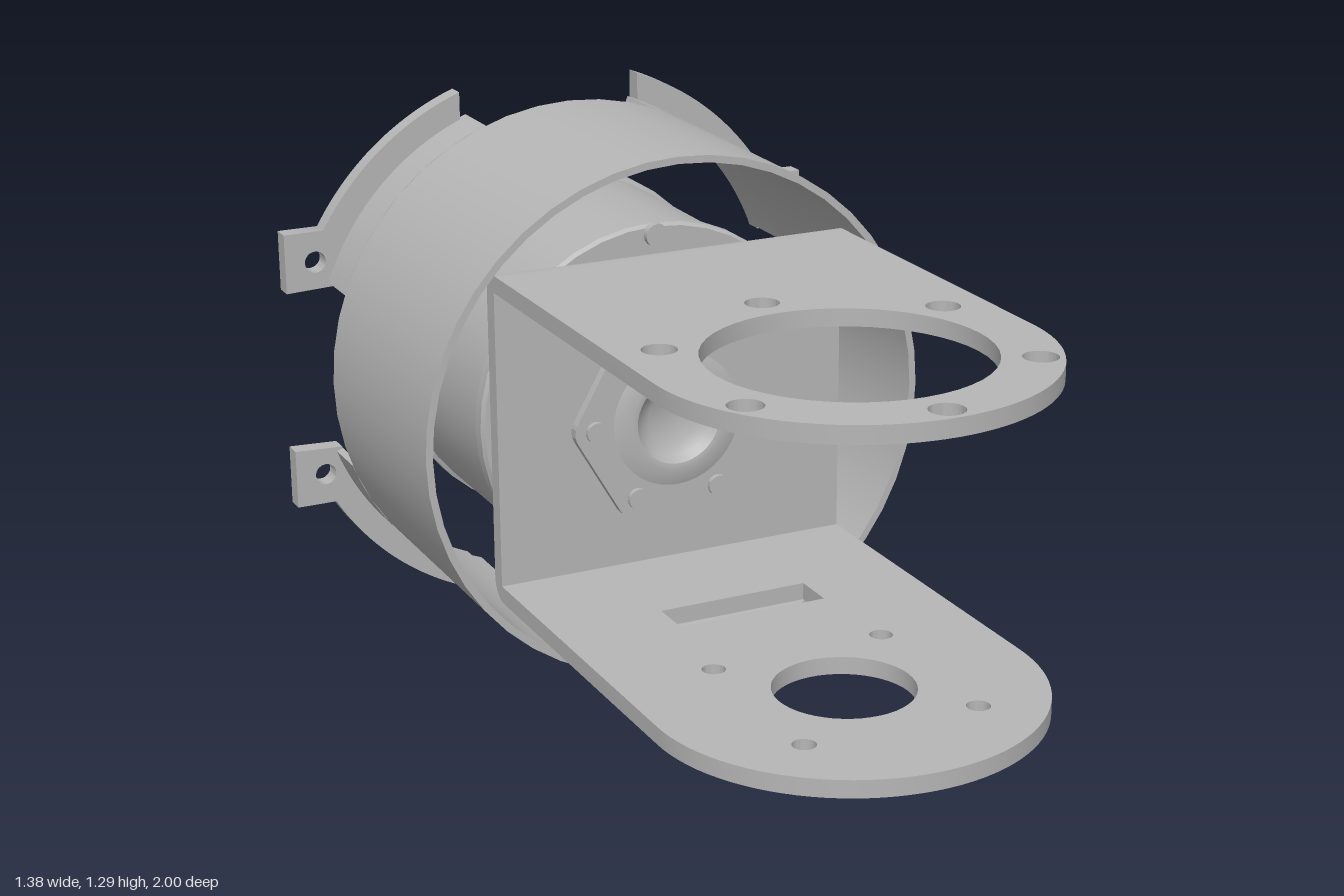
import * as THREE from 'three';
import { toCreasedNormals } from 'three/addons/utils/BufferGeometryUtils.js';

const CY = 0.645; // height of the main axis
const gray = new THREE.MeshStandardMaterial({ color: 0xb6b6b6 });
gray.name = 'metal gray';

export function createModel() {
  const model = new THREE.Group();
  model.name = 'jointModule';

  const add = (name, geo, x = 0, y = 0, z = 0, parent = model) => {
    const mesh = new THREE.Mesh(toCreasedNormals(geo, 0.6), gray);
    mesh.name = name;
    mesh.position.set(x, y, z);
    parent.add(mesh);
  };
  const hole = (shape, x, y, r) =>
    shape.holes.push(new THREE.Path().absarc(x, y, r, 0, Math.PI * 2, true));
  const extrude = (shape, depth) =>
    new THREE.ExtrudeGeometry(shape, { depth, bevelEnabled: false, curveSegments: 24 });
  // lathe around the z axis, points are [radius, distance behind z = 0]
  const latheZ = (pts) =>
    new THREE.LatheGeometry(pts.map(([r, h]) => new THREE.Vector2(r, h)), 40).rotateX(-Math.PI / 2);
  const rod = (r, len) => new THREE.CylinderGeometry(r, r, len, 16).rotateX(Math.PI / 2);
  const ringSector = (r0, r1, a0, a1, depth) => {
    const s = new THREE.Shape();
    s.absarc(0, 0, r1, a0, a1, false);
    s.absarc(0, 0, r0, a1, a0, true);
    return extrude(s, depth);
  };

  // U-shaped bracket: arms with rounded tips
  const armShape = () => {
    const s = new THREE.Shape();
    s.moveTo(-0.435, -0.23);
    s.lineTo(0.435, -0.23);
    s.lineTo(0.435, 0.56);
    s.absarc(0, 0.56, 0.435, 0, Math.PI, false);
    s.lineTo(-0.435, -0.23);
    return s;
  };
  const top = armShape();
  hole(top, 0, 0.56, 0.305);
  for (let i = 0; i < 6; i++) {
    const a = Math.PI / 6 + (i * Math.PI) / 3;
    hole(top, 0.385 * Math.cos(a), 0.56 + 0.385 * Math.sin(a), 0.038);
  }
  add('upperArm', extrude(top, 0.04).rotateX(Math.PI / 2), 0, 1.04);

  const bottom = armShape();
  hole(bottom, 0, 0.56, 0.155);
  for (const sx of [-1, 1]) for (const sz of [-1, 1]) hole(bottom, sx * 0.205, 0.56 + sz * 0.205, 0.026);
  bottom.holes.push(new THREE.Path([[-0.17, 0.02], [-0.17, 0.12], [0.19, 0.12], [0.19, 0.02]]
    .map(([x, y]) => new THREE.Vector2(x, y))));
  add('lowerArm', extrude(bottom, 0.04).rotateX(Math.PI / 2), 0, 0.3);

  // bracket web with rounded bends, drawn in (z, y) and extruded along x
  const web = new THREE.Shape();
  web.moveTo(-0.23, 1.04);
  web.lineTo(-0.26, 1.04);
  web.absarc(-0.26, 0.99, 0.05, Math.PI / 2, Math.PI, false);
  web.lineTo(-0.31, 0.31);
  web.absarc(-0.26, 0.31, 0.05, Math.PI, Math.PI * 1.5, false);
  web.lineTo(-0.23, 0.26);
  web.lineTo(-0.23, 0.3);
  web.lineTo(-0.27, 0.3);
  web.lineTo(-0.27, 1);
  web.lineTo(-0.23, 1);
  add('bracketWeb', extrude(web, 0.87).rotateY(-Math.PI / 2), 0.435);

  // hexagonal output horn with hub and bolts
  const horn = new THREE.Group();
  horn.name = 'outputHorn';
  horn.position.y = CY;
  model.add(horn);
  const hex = new THREE.Shape();
  for (let i = 0; i < 6; i++) {
    const a = (i * Math.PI) / 3;
    hex.absarc(0.205 * Math.cos(a), 0.205 * Math.sin(a), 0.05, a - Math.PI / 6, a + Math.PI / 6, false);
  }
  hole(hex, 0, 0, 0.15);
  add('hornPlate', extrude(hex, 0.025), 0, 0, -0.272, horn);
  add('hornHub', latheZ([[0, 0.266], [0.065, 0.266], [0.09, 0.25], [0.105, 0.236], [0.12, 0.234],
    [0.16, 0.247], [0.16, 0.275]]), 0, 0, 0, horn);
  for (let i = 0; i < 6; i++) {
    const a = (i * Math.PI) / 3;
    add('hornBolt', rod(0.025, 0.03), 0.205 * Math.cos(a), 0.205 * Math.sin(a), -0.25, horn);
  }

  // motor body with a raised rim around the rear cap
  add('motorBody', latheZ([[0, 0.31], [0.34, 0.31], [0.36, 0.36], [0.43, 0.36], [0.437, 0.37], [0.437, 0.4],
    [0.425, 0.41], [0.425, 0.9], [0.435, 0.905], [0.435, 0.97], [0.42, 0.988], [0.36, 0.988],
    [0.34, 0.975], [0, 0.965]]), 0, CY, 0);
  for (const s of [-1, 1]) add('frontScrew', rod(0.028, 0.02), 0, CY + s * 0.412, -0.353);
  for (let i = 0; i < 4; i++) {
    const a = Math.PI / 4 + (i * Math.PI) / 2;
    add('rearScrew', rod(0.025, 0.012), 0.39 * Math.cos(a), CY + 0.39 * Math.sin(a), -0.988);
  }

  // side connector
  add('connector', new THREE.BoxGeometry(0.05, 0.22, 0.075), 0.411, 0.655, -0.9375);
  for (const y of [0.615, 0.705])
    add('connectorScrew', new THREE.CylinderGeometry(0.016, 0.016, 0.008, 12).rotateZ(Math.PI / 2), 0.437, y, -0.9375);

  // round shell, open at both ends
  const ring = new THREE.Shape().absarc(0, 0, 0.623, 0, Math.PI * 2, false);
  hole(ring, 0, 0, 0.606);
  add('shell', extrude(ring, 0.61), 0, CY, -0.84);

  // rear shell quarters, notched between them
  const notch = Math.asin(0.215 / 0.623);
  for (let i = 0; i < 4; i++) {
    const q = (i * Math.PI) / 2;
    add('shellQuarter', ringSector(0.606, 0.623, q + notch, q + Math.PI / 2 - notch, 0.13), 0, CY, -0.97);
  }

  // curved flanges with screw tabs, mirrored to all four corners
  const flange = new THREE.Shape();
  flange.absarc(0, 0, 0.685, Math.atan2(0.345, 0.592), Math.acos(0.235 / 0.685), false);
  flange.absarc(0, 0, 0.606, Math.acos(0.235 / 0.606), Math.asin(0.205 / 0.606), true);
  flange.lineTo(0.69, 0.2);
  flange.lineTo(0.69, 0.345);
  flange.lineTo(0.592, 0.345);
  hole(flange, 0.615, 0.27, 0.026);
  const { shape: outline, holes } = flange.extractPoints(24);
  for (const sx of [-1, 1]) for (const sy of [-1, 1]) {
    const flip = (pts) => pts.map((p) => new THREE.Vector2(p.x * sx, p.y * sy));
    const s = new THREE.Shape(flip(outline));
    s.holes = holes.map((h) => new THREE.Path(flip(h)));
    add('flange', extrude(s, 0.045), 0, CY, -1);
  }
  return model;
}
